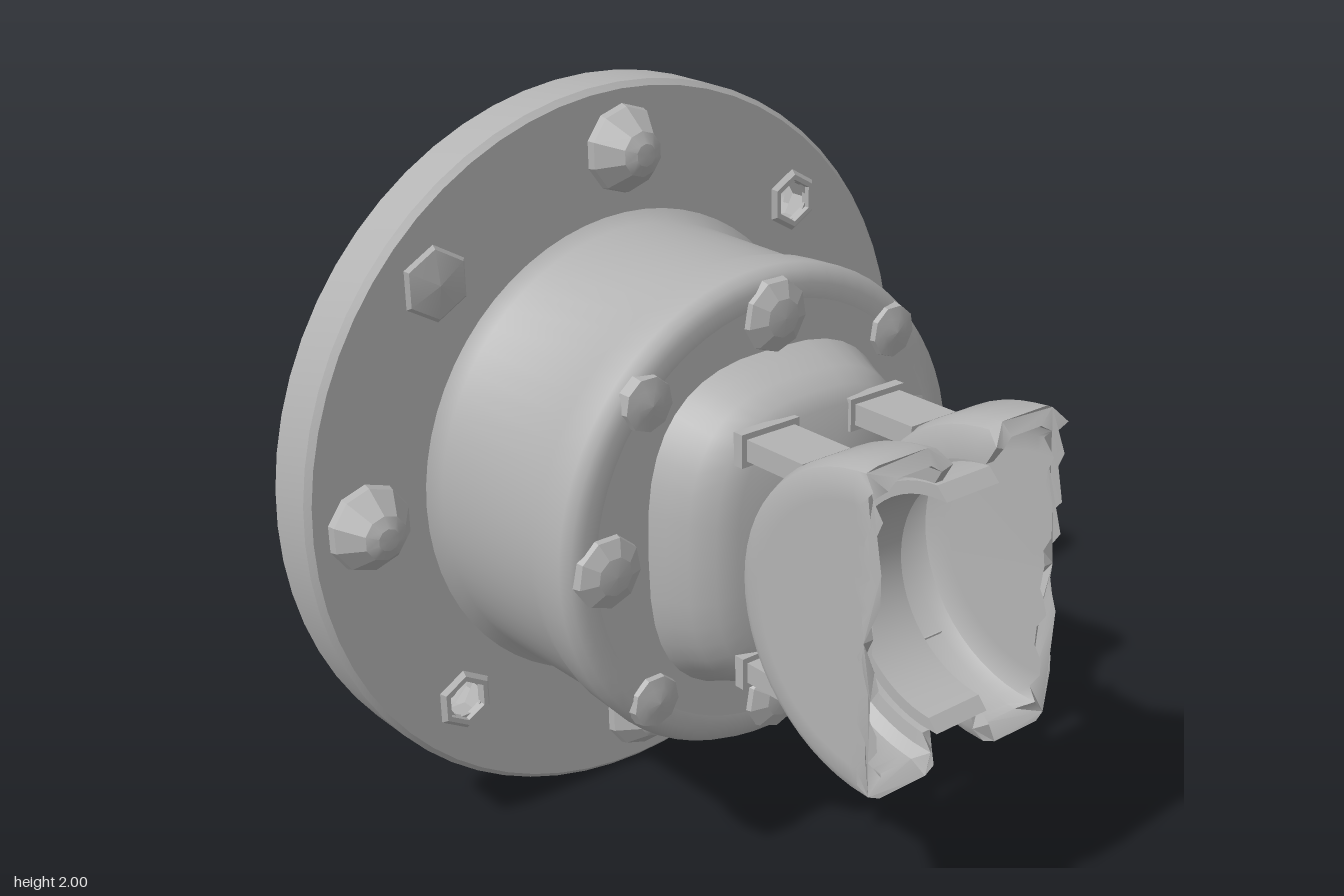
import * as THREE from 'three';
import { toCreasedNormals } from 'three/addons/utils/BufferGeometryUtils.js';

export function createModel() {
  const model = new THREE.Group();
  model.name = 'flangedClevis';
  model.position.y = 1;
  const grey = new THREE.MeshStandardMaterial({ color: 0xb3b3b3, side: THREE.DoubleSide });
  grey.name = 'castGrey';

  const add = (name, geometry, x = 0, y = 0, z = 0, crease = 0.6) => {
    const mesh = new THREE.Mesh(toCreasedNormals(geometry, crease), grey);
    mesh.name = name;
    mesh.position.set(x, y, z);
    model.add(mesh);
    return mesh;
  };
  // Turned part around the z axis, from [radius, z] pairs
  const turned = (pairs, sides) => new THREE.LatheGeometry(
    pairs.map(([r, z]) => new THREE.Vector2(r, z)), sides).rotateX(Math.PI / 2);
  const onCircle = (radius, i) => [radius * Math.cos(i * Math.PI / 4), radius * Math.sin(i * Math.PI / 4)];

  // Grid of rings joined into a surface
  const fromRings = (rings, closed) => {
    const n = rings[0].length, index = [];
    for (let j = 0; j < rings.length - 1; j++) {
      for (let i = 0; i < (closed ? n : n - 1); i++) {
        const a = j * n + i, b = j * n + (i + 1) % n;
        index.push(a, b, a + n, b, b + n, a + n);
      }
    }
    const g = new THREE.BufferGeometry();
    g.setAttribute('position', new THREE.Float32BufferAttribute(rings.flat(2), 3));
    g.setIndex(index);
    return g;
  };

  // Annular plate with extra round or hexagonal holes [x, y, radius, sides]
  const plate = (outer, inner, depth, holes) => {
    const circle = (x, y, r, sides, Type) => new Type(Array.from({ length: sides }, (_, i) =>
      new THREE.Vector2(x + r * Math.cos(i * 2 * Math.PI / sides), y + r * Math.sin(i * 2 * Math.PI / sides))));
    const shape = circle(0, 0, outer, 64, THREE.Shape);
    shape.holes.push(circle(0, 0, inner, 64, THREE.Path));
    holes.forEach(([x, y, r, sides]) => shape.holes.push(circle(x, y, r, sides, THREE.Path)));
    return new THREE.ExtrudeGeometry(shape, { depth, bevelEnabled: false });
  };

  // Flange with its raised back rim
  const pockets = [1, 5, 7].map(i => [...onCircle(0.825, i), 0.06, 6]);
  add('flangePlate', plate(0.97, 0.62, 0.06, pockets), 0, 0, -0.62);
  add('flangeRim', turned([[0.94, -0.62], [0.95, -0.715], [0.965, -0.73], [0.985, -0.73], [1, -0.715],
    [1, -0.575], [0.985, -0.56], [0.96, -0.56]], 64));

  // Hollow cup
  add('cup', turned([[0.56, -0.03], [0.55, -0.08], [0.57, -0.4], [0.61, -0.57], [0.65, -0.62]], 64), 0, 0, 0, 0.9);
  add('cupWall', turned([[0.66, -0.56], [0.63, -0.53], [0.627, -0.15], [0.64, -0.1], [0.645, 0],
    [0.63, 0.027], [0.6, 0.037], [0.56, 0.035]], 64), 0, 0, 0, 0.9);
  add('cupFront', plate(0.59, 0.38, 0.065, [[0.505, 0.15, 0.045, 7]]), 0, 0, -0.03);

  // Rounded-square hollow boss
  const bossRings = [[0.41, 0.45, 0.02], [0.385, 0.425, 0.08], [0.365, 0.405, 0.14], [0.32, 0.375, 0.19],
    [0.27, 0.335, 0.215], [0, 0, 0.215]].map(([rx, ry, z]) => Array.from({ length: 40 }, (_, i) => {
    const t = i * Math.PI / 20, c = Math.cos(t), s = Math.sin(t), p = 2 / 2.8;
    return [rx * Math.sign(c) * Math.abs(c) ** p, ry * Math.sign(s) * Math.abs(s) ** p, z];
  }));
  add('boss', fromRings(bossRings, true), 0, 0, 0, 0.9);

  // Bolts and nuts around both plates
  for (let i = 0; i < 8; i++) {
    const straight = i % 2 === 0;
    const [fx, fy] = onCircle(0.83, i);
    if (straight) {
      add('flangeBolt', turned([[0.12, -0.57], [0.112, -0.54], [0.06, -0.475], [0.03, -0.46], [0, -0.457]], 10), fx, fy, 0, 0.3);
    } else if (i === 3) {
      add('flatBolt', turned([[0.11, -0.57], [0.09, -0.55], [0, -0.535]], 6), fx, fy, 0, 0.3);
    } else {
      add('pocketCollar', turned([[0.055, -0.57], [0.06, -0.547], [0.075, -0.547], [0.09, -0.562]], 6), fx, fy, 0, 0.3);
    }
    const solid = i === 2;
    add('flangeNut', turned([[0.105, -0.61], [0.105, -0.7], [0.09, -0.72],
      ...(solid ? [] : [[0.055, -0.72], [0.05, -0.66]]), [0, solid ? -0.72 : -0.66]], 12), fx, fy, 0, 0.5);

    const [bx, by] = onCircle(straight ? 0.53 : 0.565, i);
    const r = straight ? 0.1 : 0.075, top = straight ? 0.08 : 0.065;
    add('cupBolt', turned([[r, 0.02], [r * 0.92, 0.05], [r * 0.5, top - 0.008], [0, top]], 9), bx, by, 0, 0.3);
    const [nx, ny] = onCircle(0.48, i);
    add('cupNut', turned([[0.085, -0.02], [0.085, -0.11], [0.07, -0.13], [0.045, -0.13], [0.04, -0.08], [0, -0.08]], 10),
      nx, ny, 0, 0.5);
  }

  // Half-elliptical sweep of a closed [x, scale] profile, with a ragged front edge
  const sweep = (profile, depth, height) => {
    const steps = 28, n = profile.length, rings = [];
    for (let j = 0; j <= steps; j++) {
      const t = -Math.PI / 2 + Math.PI * j / steps;
      const end = j === 0 || j === steps;
      rings.push(profile.map(([x, r]) => [x, height * r * Math.sin(t),
        0.7 - depth * r * Math.cos(t) + (end ? 0.02 * Math.sin(r * 37 + (j ? 0 : r * 9)) : 0)]));
    }
    const g = fromRings(rings, true);
    const caps = THREE.ShapeUtils.triangulateShape(profile.map(([x, r]) => new THREE.Vector2(x, r)), []);
    const index = [...g.index.array];
    caps.forEach(([a, b, c]) => index.push(a, c, b, a + n * steps, b + n * steps, c + n * steps));
    g.setIndex(index);
    return g;
  };

  // Pair of hollow jaws: full outer wall, rounded back, shallow inner lip
  const levels = [0, 0.1, 0.2, 0.3, 0.4, 0.5, 0.6, 0.7, 0.8];
  const jawProfile = [
    ...levels.map(r => [0.315, r]), [0.315, 0.9], [0.3, 0.97], [0.27, 1], [0.12, 1], [0.085, 0.97], [0.07, 0.9],
    [0.07, 0.78], [0.095, 0.78], [0.1, 0.87], [0.13, 0.92], [0.23, 0.92], [0.265, 0.87],
    ...levels.map(r => [0.285 - r * 0.01, r]).reverse(),
  ];
  const jaw = sweep(jawProfile, 0.44, 0.415);
  for (const side of [1, -1]) {
    add(side > 0 ? 'leftJaw' : 'rightJaw', jaw).scale.x = side;
    // Arms from the boss to the jaw
    for (const up of [1, -1]) {
      add('jawArm', new THREE.BoxGeometry(0.15, 0.055, 0.24), side * 0.175, up * 0.298, 0.3);
      add('armFoot', new THREE.BoxGeometry(0.18, 0.085, 0.03), side * 0.175, up * 0.298, 0.21);
    }
  }
  // Curved web joining the jaws
  add('jawWeb', sweep([[0.085, 1], [-0.085, 1], [-0.085, 0.9], [0.085, 0.9]], 0.32, 0.315));

  return model;
}
